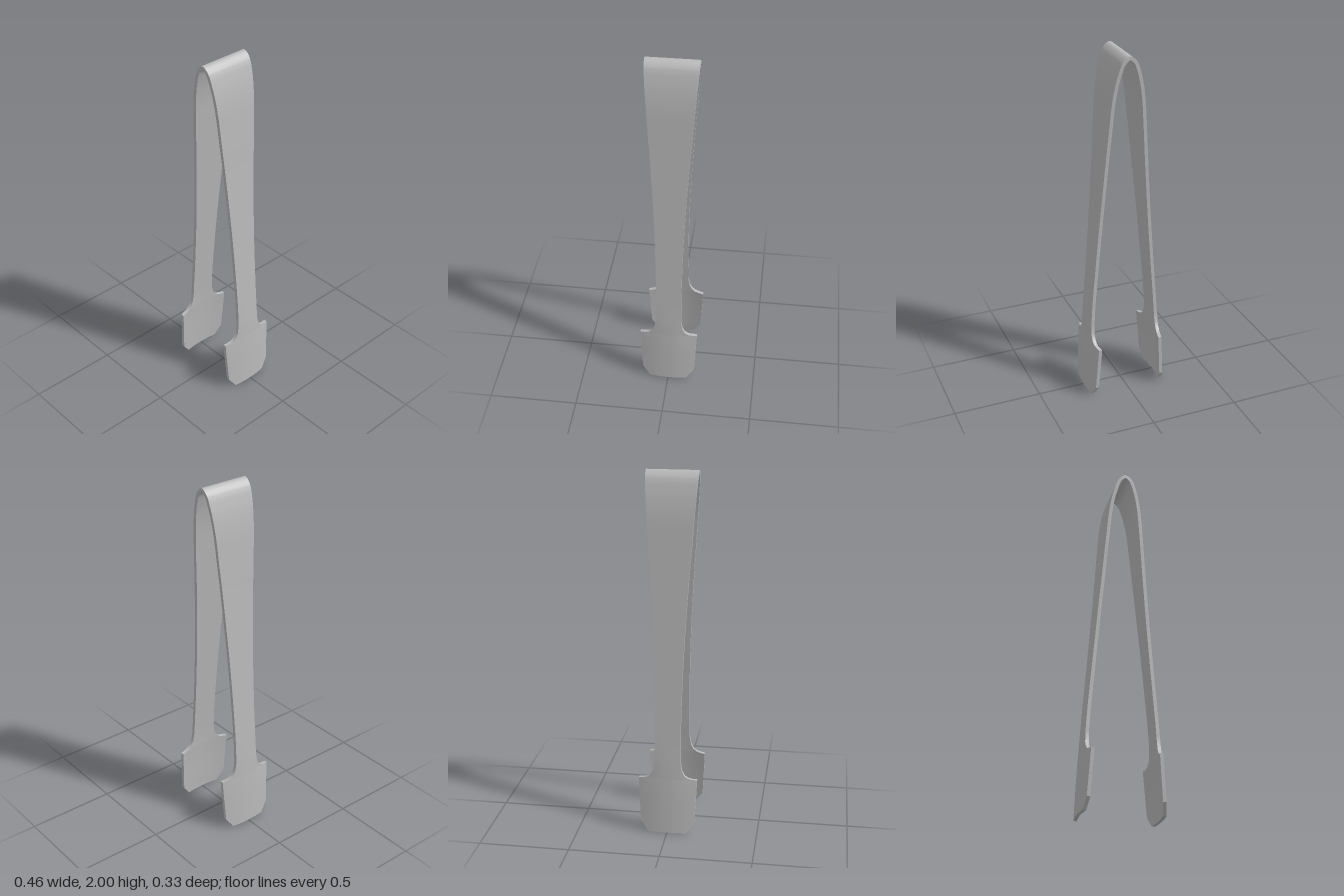
import * as THREE from 'three';
import { toCreasedNormals } from 'three/addons/utils/BufferGeometryUtils.js';

const THICKNESS = 0.019;
const COLUMNS = 12;

// Blade stations from the tip upward: [outer x, y, half width]
const BLADE = [
  [0.228, 0, 0.106], [0.225, 0.06, 0.15], [0.218, 0.19, 0.157], [0.2115, 0.316, 0.163],
  [0.211, 0.32, 0.135], [0.2108, 0.326, 0.113], [0.21, 0.342, 0.094], [0.2085, 0.37, 0.08],
];

// Arm stations from the blade up to the bend: [outer x, y, half width]
const ARM = [
  [0.2055, 0.42, 0.072], [0.19, 0.6, 0.071], [0.156, 1, 0.08], [0.123, 1.4, 0.101],
  [0.107, 1.6, 0.115], [0.09, 1.78, 0.127], [0.066, 1.9, 0.136], [0.037, 1.974, 0.141],
];

// One continuous strip: right blade, arm, bend, left arm, left blade
function stations() {
  const vec = ([x, y, w]) => new THREE.Vector3(x, y, w);
  const mirror = (p) => new THREE.Vector3(-p.x, p.y, p.z);
  const arm = ARM.map(vec);
  const blade = BLADE.map(vec);
  const top = new THREE.Vector3(0, 2, 0.142);
  const curve = new THREE.CatmullRomCurve3([...arm, top, ...arm.map(mirror).reverse()]);
  return [...blade, ...curve.getPoints(128), ...blade.map(mirror).reverse()];
}

function stripGeometry() {
  const rows = stations();
  const last = rows.length - 1;
  const positions = [];
  const index = [];

  // Outer and inner point for every row and column; the blades cup inward
  rows.forEach((p, i) => {
    const a = rows[Math.max(i - 1, 0)];
    const b = rows[Math.min(i + 1, last)];
    const n = new THREE.Vector2(b.y - a.y, a.x - b.x).normalize();
    const cup = 0.75 * (1 - THREE.MathUtils.smoothstep(p.y, 0.33, 0.6));
    for (let j = 0; j <= COLUMNS; j++) {
      const z = p.z * (2 * j / COLUMNS - 1);
      const x = p.x - Math.sign(p.x) * cup * z * z;
      positions.push(x, p.y, z);
      positions.push(x - n.x * THICKNESS, Math.max(0, p.y - n.y * THICKNESS), z);
    }
  });

  const outer = (i, j) => 2 * (i * (COLUMNS + 1) + j);
  const inner = (i, j) => outer(i, j) + 1;
  const quad = (a, b, c, d) => index.push(a, b, c, a, c, d);

  for (let i = 0; i < last; i++) {
    // Broad faces
    for (let j = 0; j < COLUMNS; j++) {
      quad(outer(i, j), outer(i + 1, j), outer(i + 1, j + 1), outer(i, j + 1));
      quad(inner(i, j), inner(i, j + 1), inner(i + 1, j + 1), inner(i + 1, j));
    }
    // Long edges
    quad(outer(i, COLUMNS), outer(i + 1, COLUMNS), inner(i + 1, COLUMNS), inner(i, COLUMNS));
    quad(outer(i, 0), inner(i, 0), inner(i + 1, 0), outer(i + 1, 0));
  }
  // Tips
  for (let j = 0; j < COLUMNS; j++) {
    quad(outer(0, j), outer(0, j + 1), inner(0, j + 1), inner(0, j));
    quad(outer(last, j), inner(last, j), inner(last, j + 1), outer(last, j + 1));
  }

  const geometry = new THREE.BufferGeometry();
  geometry.setAttribute('position', new THREE.Float32BufferAttribute(positions, 3));
  geometry.setIndex(index);
  return toCreasedNormals(geometry, 0.5);
}

export function createModel() {
  const steel = new THREE.MeshStandardMaterial({ color: 0xb8b8b8 });
  steel.name = 'steel';
  const group = new THREE.Group();
  group.name = 'tongs';
  const strip = new THREE.Mesh(stripGeometry(), steel);
  strip.name = 'bentTongStrip';
  group.add(strip);
  return group;
}
